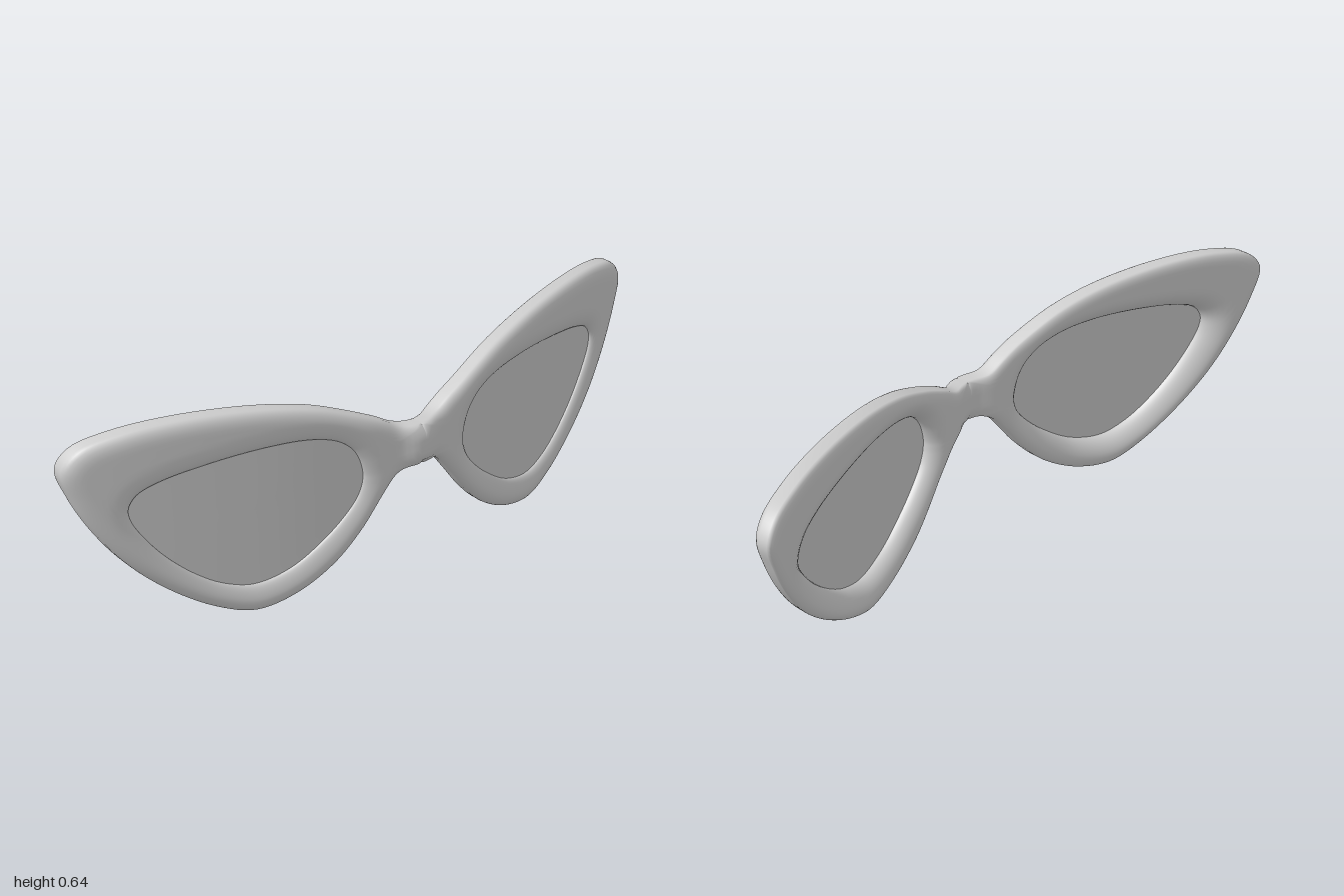
import * as THREE from 'three';
import { mergeGeometries, mergeVertices } from 'three/addons/utils/BufferGeometryUtils.js';

// Paired contour points of one rim: outer edge x, y and lens edge x, y.
// The outer edge runs from the top of the bridge round to its underside.
const PAIRS = [
  [0, 0.465, 0.185, 0.38], [0.06, 0.47, 0.195, 0.41], [0.125, 0.505, 0.215, 0.442], [0.22, 0.55, 0.26, 0.476],
  [0.33, 0.592, 0.34, 0.5], [0.49, 0.625, 0.46, 0.506], [0.7, 0.638, 0.62, 0.492], [0.86, 0.625, 0.755, 0.465],
  [0.96, 0.594, 0.815, 0.437], [0.999, 0.54, 0.837, 0.4], [0.975, 0.45, 0.832, 0.362], [0.92, 0.335, 0.805, 0.31],
  [0.84, 0.22, 0.745, 0.23], [0.73, 0.115, 0.665, 0.155], [0.605, 0.034, 0.59, 0.108], [0.505, 0.001, 0.505, 0.085],
  [0.39, 0.024, 0.4, 0.11], [0.275, 0.09, 0.3, 0.175], [0.195, 0.17, 0.235, 0.235], [0.13, 0.255, 0.2, 0.28],
  [0.08, 0.315, 0.185, 0.315], [0.045, 0.335, 0.181, 0.335], [0, 0.34, 0.18, 0.35],
];
const K = PAIRS.length, STEPS = 6, N = K * STEPS;
const OPEN = (K - 1) * STEPS;  // spans on the true silhouette
const HALF = 0.037;            // half the frame's depth
const LENS_SHIFT = 0.013;      // lens lies a little ahead of the middle

const outerCurve = new THREE.CatmullRomCurve3(PAIRS.map(p => new THREE.Vector3(p[0], p[1], 0)));
const innerCurve = new THREE.CatmullRomCurve3(PAIRS.map(p => new THREE.Vector3(p[2], p[3], 0)), true);
// Depth of the wrapped frame's middle, as a function of x
const bend = new THREE.SplineCurve([
  [-0.07, 0.109], [-0.03, 0.126], [0, 0.131], [0.03, 0.126], [0.07, 0.109], [0.12, 0.103], [0.2, 0.093], [0.4, 0.05],
  [0.6, -0.005], [0.8, -0.067], [1, -0.135],
].map(p => new THREE.Vector2(...p)));
const bendPoints = bend.getPoints(300);
function depthAt(x) {
  let i = 1;
  while (i < bendPoints.length - 1 && bendPoints[i].x < x) i++;
  const a = bendPoints[i - 1], b = bendPoints[i];
  return a.y + (b.y - a.y) * (x - a.x) / (b.x - a.x);
}

// Sampled contours; the last span of the outer one is the cut through the bridge
const inner = [], outer = [];
for (let i = 0; i < N; i++) {
  const s = i / STEPS;
  inner.push(innerCurve.getPoint(s / K));
  outer.push(s <= K - 1 ? outerCurve.getPoint(s / (K - 1))
    : new THREE.Vector3(0, THREE.MathUtils.lerp(0.34, 0.465, s - K + 1), 0));
}
const edges = (pts, count) => Array.from({ length: count }, (_, i) => new THREE.Line3(pts[i], pts[(i + 1) % N]));
const outerEdges = edges(outer, OPEN), innerEdges = edges(inner, N);
const hit = new THREE.Vector3();
const distance = (p, lines) => Math.min(...lines.map(l => l.closestPointToPoint(p, true, hit).distanceTo(p)));
const round = (d, r, power) => Math.pow(1 - Math.pow(1 - Math.min(d / r, 1), power), 1 / power);

// Grid of rows x N points round the rim, joined over `spans` steps; side -1 mirrors it
function loopGrid(rows, side, flip, spans = N) {
  const pos = [], index = [];
  rows.forEach(row => row.forEach(p => pos.push(p.x * side, p.y, p.z)));
  for (let j = 0; j < rows.length - 1; j++) for (let i = 0; i < spans; i++) {
    const a = j * N + i, b = j * N + (i + 1) % N, c = a + N, d = b + N;
    if ((side > 0) !== flip) index.push(a, b, c, b, d, c);
    else index.push(a, c, b, b, c, d);
  }
  const g = new THREE.BufferGeometry();
  g.setAttribute('position', new THREE.Float32BufferAttribute(pos, 3));
  g.setIndex(index);
  return g;
}

// Rounded front or back surface, from the lens edge out to the side wall
function rimRows(face) {
  const rows = [], R = 16;
  const wall = face > 0 ? 0.25 : 0.55, radius = face > 0 ? 0.045 : 0.035;
  for (let j = 0; j <= R; j++) {
    const t = (1 - Math.cos(Math.PI * j / R)) / 2;
    rows.push(inner.map((p, i) => {
      const q = p.clone().lerp(outer[i], t);
      const rise = wall + (1 - wall) * round(distance(q, outerEdges), radius, 2.2);
      const slope = round(distance(q, innerEdges), 0.06, 1.8);
      q.z = depthAt(q.x) + LENS_SHIFT * (1 - slope) + face * HALF * rise * slope;
      return q;
    }));
  }
  return rows;
}

// Lens rows shrink from the lens edge to its middle
function lensRows() {
  const middle = new THREE.Vector3(0.5, 0.32, 0), rows = [];
  for (let j = 0; j <= 8; j++) rows.push(inner.map(p => {
    const q = p.clone().lerp(middle, j / 8);
    q.z = depthAt(q.x) + LENS_SHIFT;
    return q;
  }));
  return rows;
}

export function createModel() {
  const group = new THREE.Group();
  const frameGrey = new THREE.MeshStandardMaterial({ color: 0xcccccc });
  frameGrey.name = 'frameGrey';
  const lensGrey = new THREE.MeshStandardMaterial({ color: 0xc8c8c8, side: THREE.DoubleSide });
  lensGrey.name = 'lensGrey';

  // Both rims and the bridge, welded into one smooth frame
  const front = rimRows(1), back = rimRows(-1), parts = [];
  const wall = [front.at(-1), back.at(-1)];
  for (const side of [1, -1]) {
    parts.push(loopGrid(front, side, false), loopGrid(back, side, true), loopGrid(wall, side, false, OPEN));
  }
  const frameGeometry = mergeVertices(mergeGeometries(parts), 1e-5);
  frameGeometry.computeVertexNormals();
  const frame = new THREE.Mesh(frameGeometry, frameGrey);
  frame.name = 'frame';
  group.add(frame);

  // Lenses
  const lens = lensRows();
  for (const side of [1, -1]) {
    const g = loopGrid(lens, side, true);
    g.computeVertexNormals();
    const mesh = new THREE.Mesh(g, lensGrey);
    mesh.name = side > 0 ? 'leftLens' : 'rightLens';
    group.add(mesh);
  }
  return group;
}
